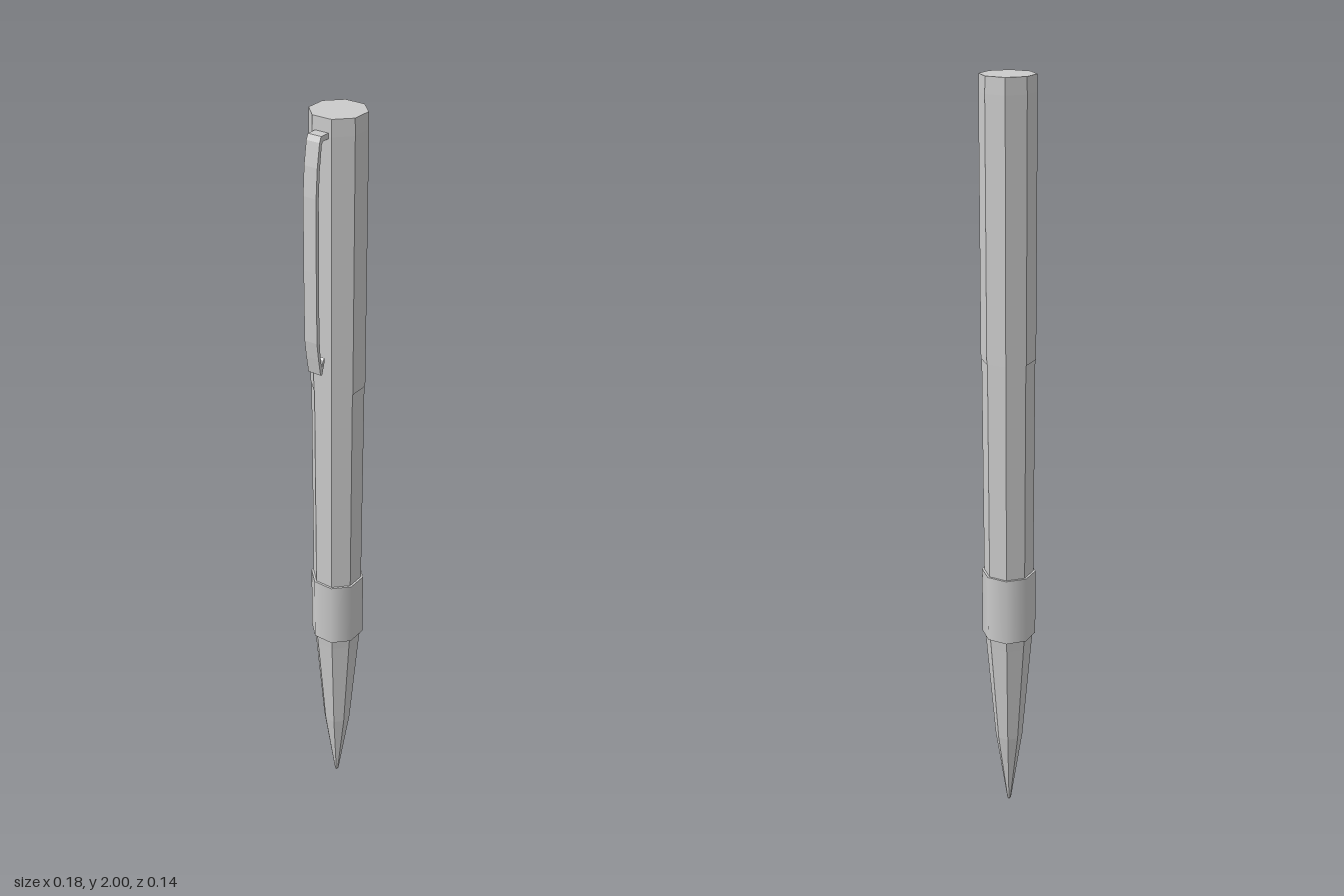
import * as THREE from 'three';

const AXIS_X = 0.018;

export function createModel() {
  const pen = new THREE.Group();
  pen.name = 'pen';
  const flat = new THREE.MeshStandardMaterial({ color: 0xcccccc, flatShading: true });
  const smooth = new THREE.MeshStandardMaterial({ color: 0xcccccc });

  // Eight-sided turned part from [radius, height] pairs, bottom to top
  function turned(name, profile, material = flat) {
    const points = profile.map(([r, y]) => new THREE.Vector2(r, y));
    const mesh = new THREE.Mesh(new THREE.LatheGeometry(points, 8), material);
    mesh.name = name;
    mesh.position.x = AXIS_X;
    pen.add(mesh);
  }

  turned('tip', [[0, 0], [0.005, 0.006], [0.037, 0.22]]);
  turned('grip', [[0.037, 0.22], [0.061, 0.51], [0.064, 0.54]]);
  turned('gripRingUnderside', [[0.06, 0.54], [0.071, 0.54]]);
  turned('gripRing', [[0.071, 0.54], [0.071, 0.725]], smooth);
  turned('gripRingTop', [[0.071, 0.725], [0.06, 0.725]]);
  turned('barrel', [[0.065, 0.725], [0.067, 1.31]]);
  turned('cap', [[0.06, 1.31], [0.069, 1.31], [0.069, 1.96], [0.068, 2], [0, 2]]);

  // Pocket clip: side outline as [distance from axis, height], outer edge then inner edge
  const outline = [
    [0.055, 1.968], [0.09, 1.968], [0.096, 1.955], [0.105, 1.9], [0.11, 1.83],
    [0.111, 1.65], [0.11, 1.47], [0.104, 1.425], [0.096, 1.38], [0.09, 1.378],
    [0.08, 1.41], [0.08, 1.42], [0.086, 1.415], [0.092, 1.4], [0.097, 1.44],
    [0.1, 1.48], [0.101, 1.65], [0.1, 1.83], [0.096, 1.89], [0.088, 1.948],
    [0.084, 1.955], [0.055, 1.955],
  ];
  const width = 0.036;
  const shape = new THREE.Shape(outline.map(([r, y]) => new THREE.Vector2(r, y)));
  const clipGeometry = new THREE.ExtrudeGeometry(shape, { depth: width, bevelEnabled: false });
  clipGeometry.translate(0, 0, -width / 2);
  const clip = new THREE.Mesh(clipGeometry, flat);
  clip.name = 'pocketClip';
  clip.position.x = AXIS_X;
  clip.rotation.y = Math.PI + Math.PI / 8; // centred on one flat of the cap
  pen.add(clip);

  return pen;
}
